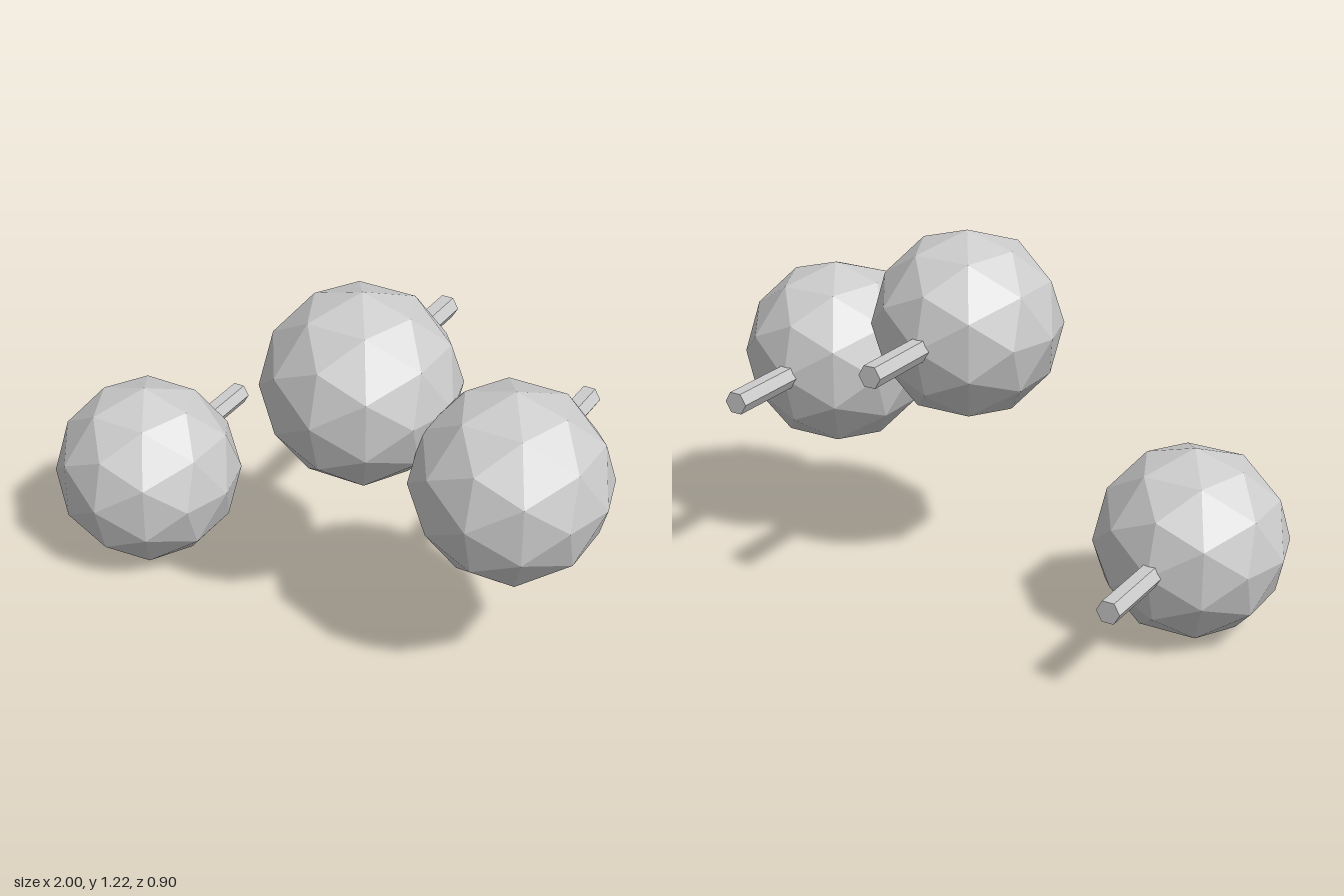
import * as THREE from 'three';

export function createModel() {
  const model = new THREE.Group();
  const grey = new THREE.MeshStandardMaterial({ color: 0xcccccc, flatShading: true });
  grey.name = 'light grey';

  // Faceted ball, and a hexagonal peg lying along z with corners at its sides
  const ballGeometry = new THREE.IcosahedronGeometry(0.319, 1);
  const pegLength = 0.36;
  const pegGeometry = new THREE.CylinderGeometry(0.04, 0.04, pegLength, 6);
  pegGeometry.rotateY(Math.PI / 6).rotateX(Math.PI / 2);

  // One knob: ball in front, peg out of its back
  const addKnob = (name, x, y) => {
    const knob = new THREE.Group();
    knob.name = name;
    const ball = new THREE.Mesh(ballGeometry, grey);
    ball.name = 'ball';
    ball.position.z = 0.131;
    const peg = new THREE.Mesh(pegGeometry, grey);
    peg.name = 'peg';
    peg.position.z = -0.45 + pegLength / 2;
    knob.add(ball, peg);
    knob.position.set(x, y, 0);
    model.add(knob);
  };

  addKnob('rightKnob', -0.681, 0.323);
  addKnob('middleKnob', 0.156, 0.909);
  addKnob('leftKnob', 0.681, 0.715);

  return model;
}
